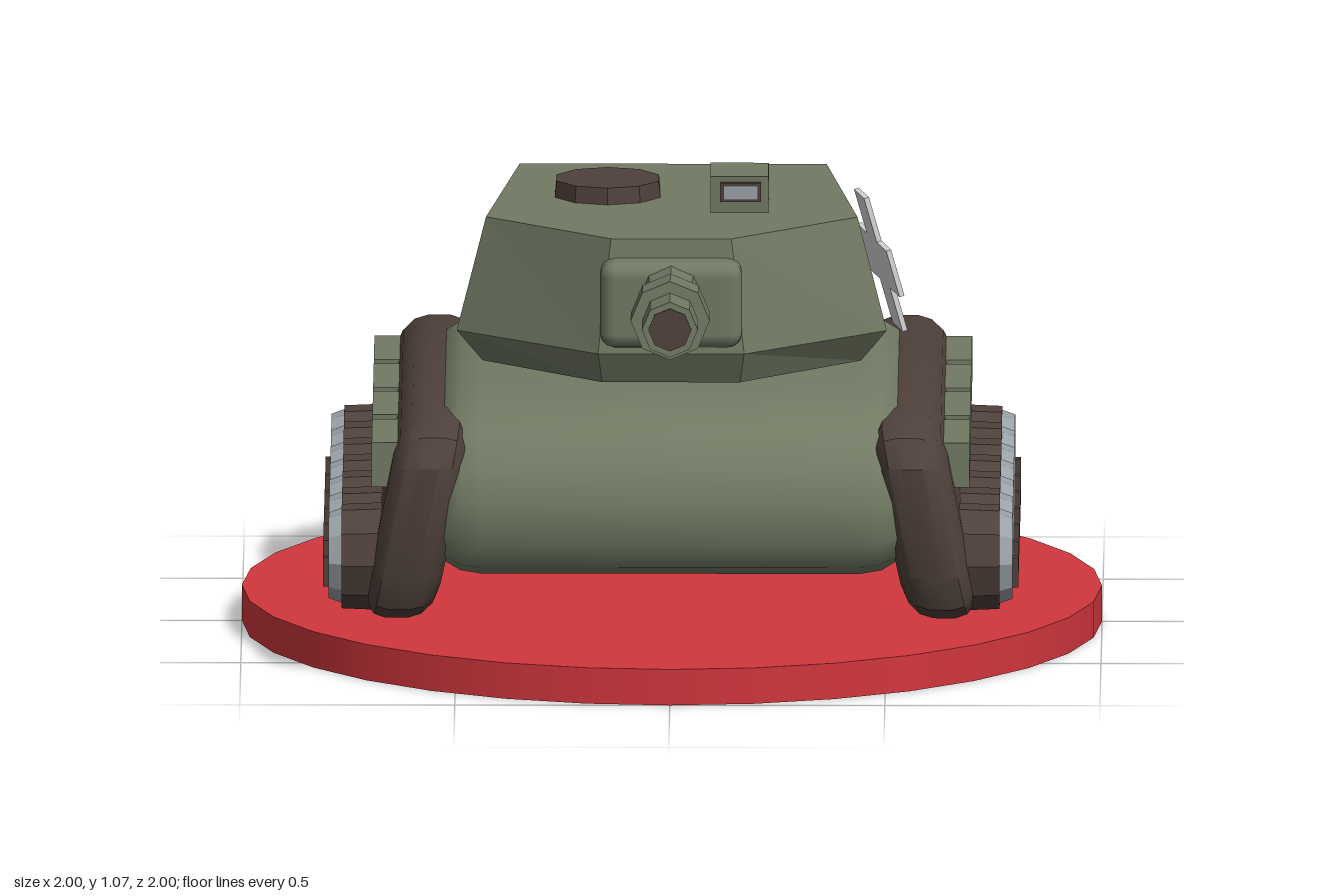
import * as THREE from 'three';
import { toCreasedNormals } from 'three/addons/utils/BufferGeometryUtils.js';
import { RoundedBoxGeometry } from 'three/addons/geometries/RoundedBoxGeometry.js';

const paint = (name, color, flat = true) => {
  const m = new THREE.MeshStandardMaterial({ color });
  m.name = name;
  m.flatShading = flat;
  return m;
};

export function createModel() {
  const root = new THREE.Group();
  root.name = 'toyTank';
  const red = paint('red', 0xd0363d, false);
  const green = paint('olive green', 0x717a63, false);
  const brown = paint('dark brown', 0x4f413b, false);
  const grey = paint('wheel grey', 0x9aa1a6, false);
  const white = paint('pale grey', 0xd9d9d9, false);

  const add = (name, geo, mat, x = 0, y = 0, z = 0, parent = root) => {
    const mesh = new THREE.Mesh(geo, mat);
    mesh.name = name;
    mesh.position.set(x, y, z);
    parent.add(mesh);
    return mesh;
  };
  const box = (w, h, d) => new THREE.BoxGeometry(w, h, d);
  const flat = (geo) => toCreasedNormals(geo, 0.1);

  // Side outline in (z, y), mirrored front to back, bevelled and extruded across x
  const slab = (half, width, bevel, bevelSize) => {
    const pts = [...half, ...half.map(([z, y]) => [-z, y]).reverse()];
    const shape = new THREE.Shape(pts.map(([z, y]) => new THREE.Vector2(z, y)));
    const geo = new THREE.ExtrudeGeometry(shape, {
      depth: width - 2 * bevel, bevelThickness: bevel, bevelSize,
      bevelOffset: -bevelSize, bevelSegments: 3,
    });
    geo.translate(0, 0, bevel - width / 2);
    geo.rotateY(Math.PI / 2);
    return geo;
  };

  // Round stand
  add('base', new THREE.CylinderGeometry(1, 1, 0.085, 32), red, 0, 0.0425, 0);

  // Hull
  const hullHalf = [[0.64, 0.24], [0.72, 0.27], [0.76, 0.33], [0.76, 0.43],
    [0.73, 0.51], [0.66, 0.575], [0.56, 0.61], [0.46, 0.63]];
  add('hull', toCreasedNormals(slab(hullHalf, 1.08, 0.1, 0.06), 0.7), green);

  // Running gear on both sides
  const trackHalf = [[0.64, 0.135], [0.72, 0.17], [0.755, 0.25],
    [0.755, 0.51], [0.71, 0.575], [0.63, 0.6]];
  for (const s of [1, -1]) {
    const side = new THREE.Group();
    side.name = s > 0 ? 'leftRunningGear' : 'rightRunningGear';
    root.add(side);

    // Track leans outwards toward the ground
    const track = slab(trackHalf, 0.17, 0.06, 0.07);
    const p = track.attributes.position;
    for (let i = 0; i < p.count; i++) {
      p.setX(i, p.getX(i) + s * (0.59 + (0.37 - p.getY(i)) * 0.2));
    }
    add('track', toCreasedNormals(track, 0.6), brown, 0, 0, 0, side);

    // Road wheels: tyre, disc and hub bar
    for (let i = -3; i <= 3; i++) {
      const z = i * 0.195;
      const disc = (rOut, rIn, w) =>
        flat(new THREE.CylinderGeometry(rOut, rIn, w, 10).rotateZ(-s * Math.PI / 2));
      add('tyre', disc(0.122, 0.127, 0.12), brown, s * 0.705, 0.27, z, side);
      add('wheelDisc', disc(0.1, 0.111, 0.03), grey, s * 0.78, 0.272, z, side);
      add('hubBar', box(0.04, 0.07, 0.025), brown, s * 0.789, 0.235, z, side);
    }

    // Skirt plates
    for (const z of [0.495, 0.165, -0.16, -0.49]) {
      add('skirtPlate', box(0.09, 0.105, 0.282), green, s * 0.65, 0.497, z, side);
    }
  }

  // Turret: three six-sided rings (half widths by z), closed top and bottom
  const rings = [
    { y: 0.64, p: [[0.36, -0.53], [0.44, 0.11], [0.16, 0.37]] },
    { y: 0.715, p: [[0.405, -0.565], [0.5, 0.13], [0.17, 0.41]] },
    { y: 0.98, p: [[0.357, -0.52], [0.432, 0.11], [0.14, 0.37]] },
  ].map(({ y, p }) => [...p, ...p.map(([x, z]) => [-x, z]).reverse()].map(([x, z]) => [x, y, z]));
  const tri = [];
  const face = (...c) => { for (let i = 1; i < c.length - 1; i++) tri.push(c[0], c[i], c[i + 1]); };
  for (let r = 0; r < 2; r++) {
    for (let i = 0; i < 6; i++) {
      const j = (i + 1) % 6;
      face(rings[r][i], rings[r + 1][i], rings[r + 1][j], rings[r][j]);
    }
  }
  face(...rings[0]);
  face(...[...rings[2]].reverse());
  // ring order runs clockwise seen from above, so flip every corner order
  const turretGeo = new THREE.BufferGeometry();
  const a = new THREE.Vector3(), b = new THREE.Vector3(), c = new THREE.Vector3();
  const mid = new THREE.Vector3(0, 0.8, -0.05), coords = [];
  for (let i = 0; i < tri.length; i += 3) {
    a.set(...tri[i]); b.set(...tri[i + 1]); c.set(...tri[i + 2]);
    const n = b.clone().sub(a).cross(c.clone().sub(a));
    const outward = n.dot(a.clone().sub(mid)) > 0;
    coords.push(...tri[i], ...(outward ? tri[i + 1] : tri[i + 2]), ...(outward ? tri[i + 2] : tri[i + 1]));
  }
  turretGeo.setAttribute('position', new THREE.Float32BufferAttribute(coords, 3));
  turretGeo.computeVertexNormals();
  add('turret', turretGeo, green);

  // Gun mantlet and slightly raised barrel
  add('mantlet', new RoundedBoxGeometry(0.33, 0.205, 0.11, 2, 0.035), green, 0, 0.833, 0.39);
  const gun = new THREE.Group();
  gun.name = 'gun';
  gun.position.set(0, 0.853, 0.42);
  gun.rotation.x = -0.062;
  root.add(gun);
  const tube = (name, rFront, rBack, z0, z1, mat) =>
    add(name, flat(new THREE.CylinderGeometry(rFront, rBack, z1 - z0, 8).rotateX(Math.PI / 2)),
      mat, 0, 0, (z0 + z1) / 2, gun);
  tube('barrel', 0.062, 0.075, 0, 0.3, green);
  tube('muzzleSleeve', 0.092, 0.092, 0.28, 0.415, green);
  tube('muzzle', 0.065, 0.065, 0.41, 0.572, green);
  tube('bore', 0.05, 0.05, 0.57, 0.577, brown);

  // Hatch and periscope on the turret roof
  add('hatch', flat(new THREE.CylinderGeometry(0.125, 0.13, 0.05, 10)), brown, -0.15, 0.994, -0.16);
  add('periscope', box(0.135, 0.095, 0.165), green, 0.157, 1.018, -0.023);
  add('periscopeFrame', box(0.095, 0.045, 0.012), brown, 0.16, 1.03, 0.065);
  add('periscopeGlass', box(0.08, 0.033, 0.006), grey, 0.16, 1.03, 0.072);

  // Cross plate leaning against the left turret wall
  const cross = new THREE.Group();
  cross.name = 'crossPlate';
  cross.position.set(0.485, 0.838, -0.095);
  cross.rotation.set(0, 0.21, 0.28);
  root.add(cross);
  const [w, l] = [0.0575, 0.166];
  const outline = [[w, l], [-w, l], [-w, w], [-l, w], [-l, -w], [-w, -w],
    [-w, -l], [w, -l], [w, -w], [l, -w], [l, w], [w, w]];
  const crossGeo = new THREE.ExtrudeGeometry(
    new THREE.Shape(outline.map(([x, y]) => new THREE.Vector2(x, y))),
    { depth: 0.012, bevelEnabled: false });
  add('cross', crossGeo.translate(0, 0, -0.006).rotateY(Math.PI / 2), white, 0, 0, 0, cross);

  // Engine grille bars on the rear deck
  for (const z of [-0.552, -0.605, -0.655, -0.705]) {
    add('grilleBar', box(0.49, 0.012, 0.02), brown, -0.06, 0.64, z);
  }
  return root;
}
